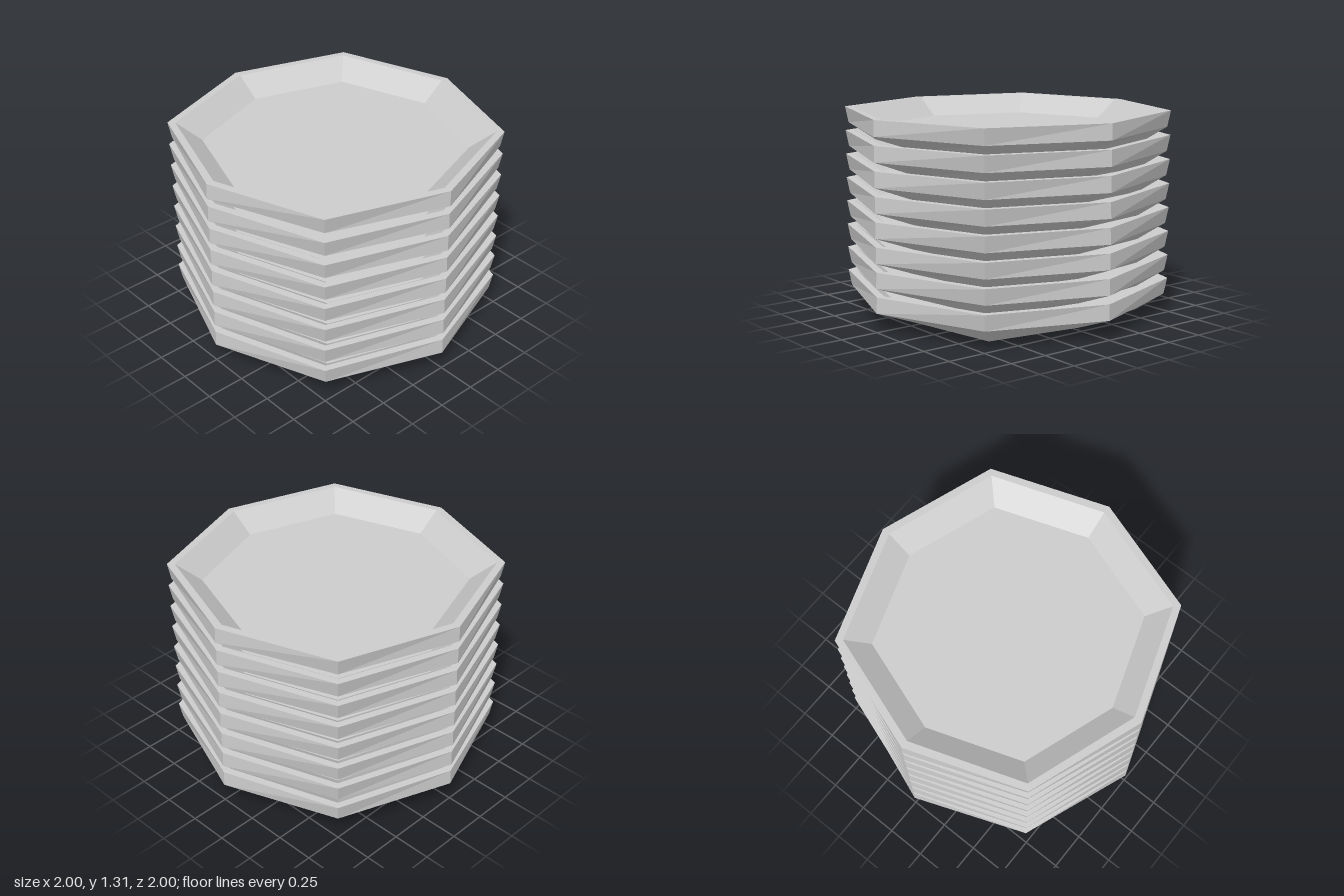
import * as THREE from 'three';

const SIDES = 8, TRAYS = 8, SPACING = 0.1546;

// Cross-section from the underside centre, round the rim, to the floor centre.
// Each row: reach on the axes, x/z offset of the diagonal corners, axis height, diagonal height.
const PROFILE = [
  [0, 0, 0, 0],                    // underside centre
  [0.72, 0.6, 0.016, 0.01],        // underside edge
  [1, 0.725, 0.12, 0.12],          // lower rim edge
  [0.996, 0.74, 0.22, 0.223],      // upper rim edge
  [0.945, 0.705, 0.22, 0.223],     // inner rim edge
  [0.793, 0.59, 0.105, 0.105],     // floor edge
  [0, 0, 0.105, 0.105],            // floor centre
];

// Corner of one cross-section; even corners lie on the axes, odd ones on the diagonals.
function corner([axis, diagonal, axisY, diagonalY], i) {
  const odd = i % 2 === 1;
  const r = odd ? diagonal * Math.SQRT2 : axis;
  const a = (i / SIDES) * Math.PI * 2;
  return [r * Math.cos(a), odd ? diagonalY : axisY, r * Math.sin(a)];
}

function trayGeometry() {
  const positions = [];
  for (let k = 0; k < PROFILE.length - 1; k++) {
    for (let i = 0; i < SIDES; i++) {
      const a = corner(PROFILE[k], i), b = corner(PROFILE[k], i + 1);
      const c = corner(PROFILE[k + 1], i), d = corner(PROFILE[k + 1], i + 1);
      if (k > 0) positions.push(...a, ...c, ...b);
      if (k < PROFILE.length - 2) positions.push(...c, ...d, ...b);
    }
  }
  const geometry = new THREE.BufferGeometry();
  geometry.setAttribute('position', new THREE.Float32BufferAttribute(positions, 3));
  geometry.computeVertexNormals();
  return geometry;
}

export function createModel() {
  const group = new THREE.Group();
  group.name = 'trayStack';
  const grey = new THREE.MeshStandardMaterial({ color: 0xcccccc });
  grey.name = 'lightGrey';
  grey.flatShading = true;

  // Identical octagonal trays stacked upwards
  const geometry = trayGeometry();
  for (let i = 0; i < TRAYS; i++) {
    const tray = new THREE.Mesh(geometry, grey);
    tray.name = `tray${i + 1}`;
    tray.position.y = i * SPACING;
    group.add(tray);
  }
  return group;
}
